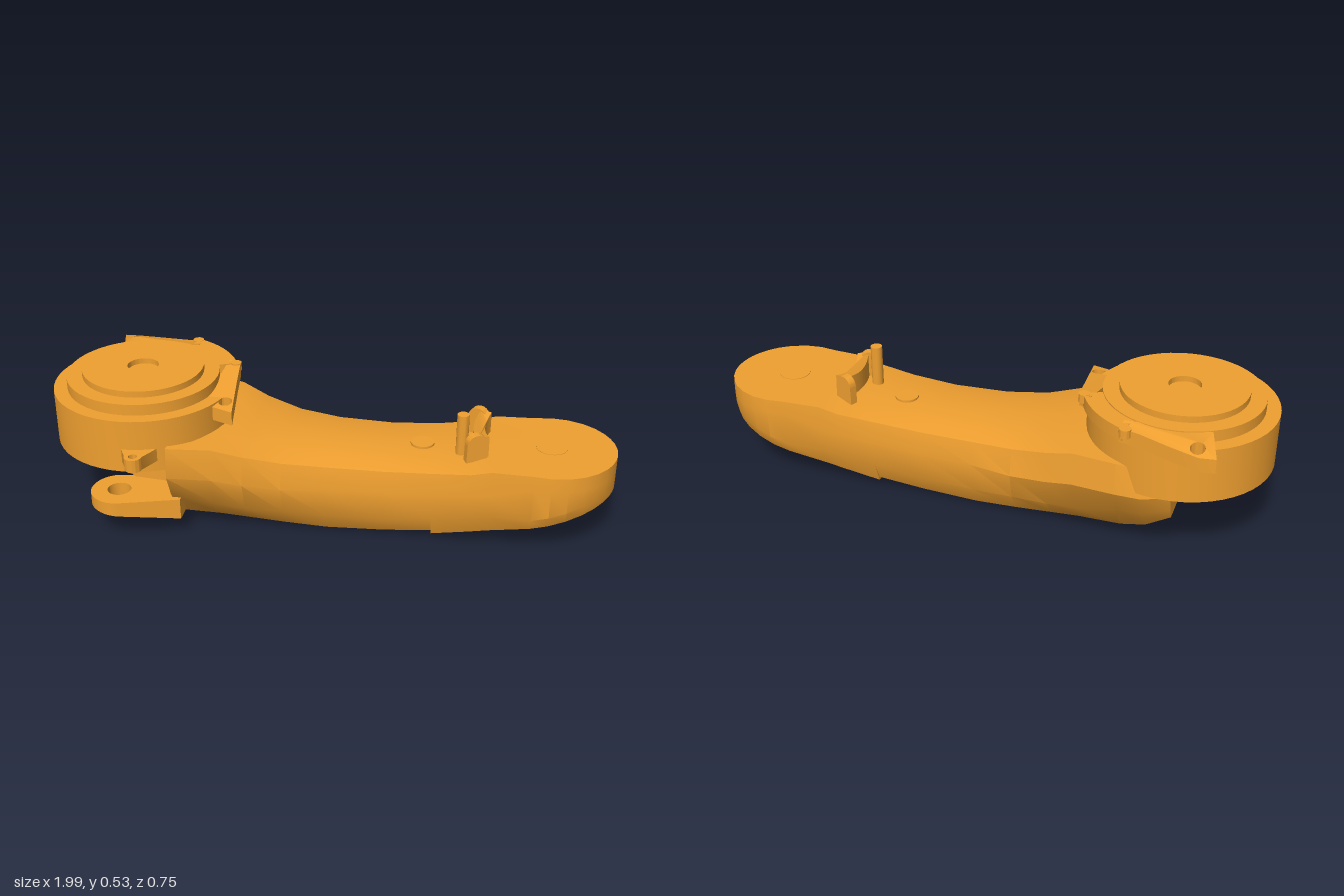
import * as THREE from 'three';
import { toCreasedNormals } from 'three/addons/utils/BufferGeometryUtils.js';

const AXIS = -0.015; // z of the arm's centre line
const material = new THREE.MeshStandardMaterial({ color: 0xf0a030 });

function add(group, name, geometry, crease = 0.5) {
  const mesh = new THREE.Mesh(toCreasedNormals(geometry, crease), material);
  mesh.name = name;
  group.add(mesh);
  return mesh;
}

// Flat plate from an outline in x and z, its top face at y = top
function plate(points, top, thickness, hole) {
  const shape = Array.isArray(points) ? new THREE.Shape(points.map(([x, z]) => new THREE.Vector2(x, z))) : points;
  if (hole) shape.holes.push(new THREE.Path().absarc(hole[0], hole[1], hole[2], 0, Math.PI * 2, true));
  const g = new THREE.ExtrudeGeometry(shape, { depth: thickness, bevelEnabled: false, curveSegments: 16 });
  return g.rotateX(Math.PI / 2).translate(0, top, 0);
}

// Loft cross-sections along x
function armGeometry() {
  // x, top, crown, topHalf, midY, midHalf, lowY, lowHalf, bottom, bottomHalf, groove, front limit
  const rows = [
    [-0.71, 0.30, 0, 0.26, 0.26, 0.27, 0.2, 0.25, 0.16, 0.23, 0, 0.13],
    [-0.62, 0.36, 0, 0.29, 0.26, 0.31, 0.18, 0.27, 0.09, 0.2, 0, 0.14],
    [-0.531, 0.37, 0, 0.3, 0.26, 0.31, 0.17, 0.265, 0.06, 0.18, 0, 0.15],
    [-0.53, 0.37, 0, 0.3, 0.26, 0.31, 0.17, 0.265, 0.06, 0.18, 0],
    [-0.38, 0.37, 0.01, 0.27, 0.25, 0.285, 0.13, 0.24, 0.035, 0.165, 0.014],
    [-0.28, 0.345, 0.02, 0.24, 0.22, 0.255, 0.11, 0.22, 0.025, 0.16, 0.014],
    [-0.15, 0.32, 0.025, 0.21, 0.2, 0.23, 0.1, 0.205, 0.013, 0.155, 0.014],
    [0, 0.307, 0.025, 0.19, 0.2, 0.208, 0.09, 0.192, 0.003, 0.15, 0.014],
    [0.2, 0.3, 0.022, 0.183, 0.2, 0.198, 0.09, 0.188, 0.01, 0.15, 0.014],
    [0.37, 0.302, 0.015, 0.188, 0.21, 0.2, 0.11, 0.19, 0.03, 0.16, 0.014],
    [0.371, 0.302, 0.015, 0.188, 0.21, 0.2, 0.11, 0.19, 0.03, 0.16, 0],
    [0.5, 0.31, 0.01, 0.2, 0.22, 0.208, 0.13, 0.2, 0.056, 0.17, 0],
    [0.57, 0.32, 0, 0.208, 0.23, 0.214, 0.145, 0.207, 0.073, 0.178, 0],
  ];
  // Rounded far end with a rising underside
  for (const deg of [-15, 0, 15, 30, 43, 55, 65, 74, 81, 87]) {
    const a = THREE.MathUtils.degToRad(deg), c = Math.cos(a), x = 0.77 + 0.225 * Math.sin(a);
    const b = 0.122 + (x - 0.77) * 0.34;
    rows.push([x, 0.32, 0, 0.222 * c, 0.27, 0.225 * c, b + 0.045, 0.222 * c, b, 0.2 * c, 0]);
  }
  const pos = [], idx = [], n = 14;
  for (const [x, top, crown, th, my, mh, ly, lh, b, bh, groove, limit = 1] of rows) {
    const half = [[th * 0.6, top - crown * 0.3], [th, top - crown], [mh, my], [lh, ly], [bh, b + groove * 0.9], [Math.min(0.035, bh * 0.3), b]];
    const ring = [[0, top], ...half, [0, b + groove], ...half.slice().reverse().map(([z, y]) => [-z, y])];
    for (const [z, y] of ring) pos.push(x, y, AXIS + Math.min(z, limit));
  }
  for (let s = 0; s < rows.length - 1; s++) {
    for (let i = 0; i < n; i++) {
      const a = s * n + i, b = s * n + (i + 1) % n;
      idx.push(a, b, b + n, a, b + n, a + n);
    }
  }
  const last = (rows.length - 1) * n;
  for (let i = 1; i < n - 1; i++) {
    idx.push(0, i + 1, i, last, last + i, last + i + 1);
  }
  const g = new THREE.BufferGeometry();
  g.setAttribute('position', new THREE.Float32BufferAttribute(pos, 3));
  g.setIndex(idx);
  return g;
}

export function createModel() {
  const model = new THREE.Group();
  model.name = 'jointedArmLink';

  add(model, 'armBody', armGeometry(), 0.45);

  // Stepped joint drum with a shallow centre hole
  const profile = [[0, 0.25], [0.24, 0.25], [0.318, 0.28], [0.318, 0.472], [0.27, 0.472], [0.27, 0.512],
    [0.215, 0.512], [0.215, 0.535], [0.055, 0.535], [0.055, 0.515], [0, 0.515]];
  const drum = new THREE.LatheGeometry(profile.map(([r, y]) => new THREE.Vector2(r, y)), 48);
  add(model, 'jointDrum', drum.translate(-0.68, 0, AXIS));

  // Round inserts on the upper face
  const insert = (name, x, r, y) => add(model, name, new THREE.CylinderGeometry(r, r, 0.02, 28).translate(x, y - 0.01, AXIS));
  insert('topButton', 0.32, 0.042, 0.308);
  insert('endPivotInsert', 0.77, 0.055, 0.322);

  // Lower lug beside the pocket
  const lug = new THREE.Shape();
  lug.moveTo(-0.5, 0.25);
  lug.lineTo(-0.71, 0.308);
  lug.absarc(-0.73, 0.21, 0.1, Math.PI * 0.44, Math.PI * 1.4, false);
  lug.lineTo(-0.5, 0.08);
  const lugGeometry = plate(lug, 0.152, 0.05, [-0.73, 0.21, 0.042]);
  // lower the underside towards the body
  const lp = lugGeometry.attributes.position;
  for (let i = 0; i < lp.count; i++) {
    if (lp.getY(i) < 0.12) {
      const t = THREE.MathUtils.clamp((lp.getX(i) + 0.83) / 0.33, 0, 1);
      lp.setY(i, 0.108 - 0.035 * t + 0.03 * (lp.getZ(i) - 0.2));
    }
  }
  lugGeometry.deleteAttribute('normal');
  add(model, 'lowerLug', lugGeometry);

  // Small eyelet on the front of the drum
  const eye = new THREE.Shape();
  eye.moveTo(-0.55, 0.26);
  eye.lineTo(-0.595, 0.345);
  eye.absarc(-0.625, 0.345, 0.03, 0, Math.PI, false);
  eye.lineTo(-0.69, 0.28);
  add(model, 'frontEyelet', plate(eye, 0.366, 0.047, [-0.625, 0.345, 0.015]));

  // Two ears on the drum rim, sloping down towards their tips
  const ear = (name, outline, hole, slope) => {
    const g = plate(outline, 0.51, 0.05, hole);
    const p = g.attributes.position;
    for (let i = 0; i < p.count; i++) p.setY(i, p.getY(i) - slope(p.getX(i), p.getZ(i)));
    g.deleteAttribute('normal');
    add(model, name, g);
  };
  ear('backEar', [[-0.855, -0.37], [-0.80, -0.375], [-0.70, -0.352], [-0.60, -0.325], [-0.535, -0.315], [-0.54, -0.27], [-0.68, -0.26], [-0.82, -0.25]],
    [-0.79, -0.34, 0.024], (x, z) => Math.max(0, -z - 0.3) * 0.35);
  ear('sideEar', [[-0.40, -0.16], [-0.355, -0.135], [-0.345, -0.03], [-0.325, 0.155], [-0.43, 0.12], [-0.42, 0]],
    [-0.36, 0.095, 0.024], (x, z) => Math.max(0, z + 0.15) * 0.17);
  // Rim band joining the ears
  const band = new THREE.Shape();
  band.absarc(-0.68, AXIS, 0.335, -1.16, -0.37, false);
  band.absarc(-0.68, AXIS, 0.26, -0.37, -1.16, true);
  add(model, 'earBand', plate(band, 0.508, 0.045));
  for (const [x, z] of [[-0.555, -0.318], [-0.372, -0.14]]) {
    add(model, 'bandStud', new THREE.CylinderGeometry(0.02, 0.02, 0.03, 12).translate(x, 0.494, z));
  }

  // Saddle: a curved wall between two round-topped posts
  const wall = new THREE.Shape();
  wall.absarc(0.77, AXIS, 0.275, Math.PI - 0.4, Math.PI + 0.4, false);
  wall.absarc(0.77, AXIS, 0.235, Math.PI + 0.4, Math.PI - 0.4, true);
  const wallGeometry = plate(wall, 0.38, 0.09);
  const wp = wallGeometry.attributes.position;
  for (let i = 0; i < wp.count; i++) {
    if (wp.getY(i) > 0.35) wp.setY(i, 0.38 + 1.6 * (wp.getZ(i) - AXIS) ** 2);
  }
  wallGeometry.deleteAttribute('normal');
  add(model, 'saddleWall', wallGeometry);
  for (const side of [-1, 1]) {
    const arch = new THREE.Shape();
    arch.moveTo(-0.038, 0);
    arch.lineTo(0.038, 0);
    arch.lineTo(0.036, 0.065);
    arch.absarc(0, 0.065, 0.036, 0, Math.PI, false);
    const g = new THREE.ExtrudeGeometry(arch, { depth: 0.028, bevelEnabled: false, curveSegments: 10 });
    const post = add(model, 'saddlePost', g.translate(0, 0, -0.014));
    post.position.set(0.51, 0.305, AXIS + side * 0.103);
    post.rotation.y = side * 0.4;
  }

  // Upright pin beside the saddle
  add(model, 'uprightPin', new THREE.CylinderGeometry(0.021, 0.021, 0.16, 16).translate(0.46, 0.375, 0.042));

  // Clips at both ends of the underside groove
  for (const [x, y, tilt] of [[0.36, 0.034, 0.14], [-0.45, 0.048, -0.16]]) {
    const clip = add(model, 'undersideClip', new THREE.BoxGeometry(0.05, 0.02, 0.15));
    clip.position.set(x, y, AXIS);
    clip.rotation.z = tilt;
  }
  return model;
}
